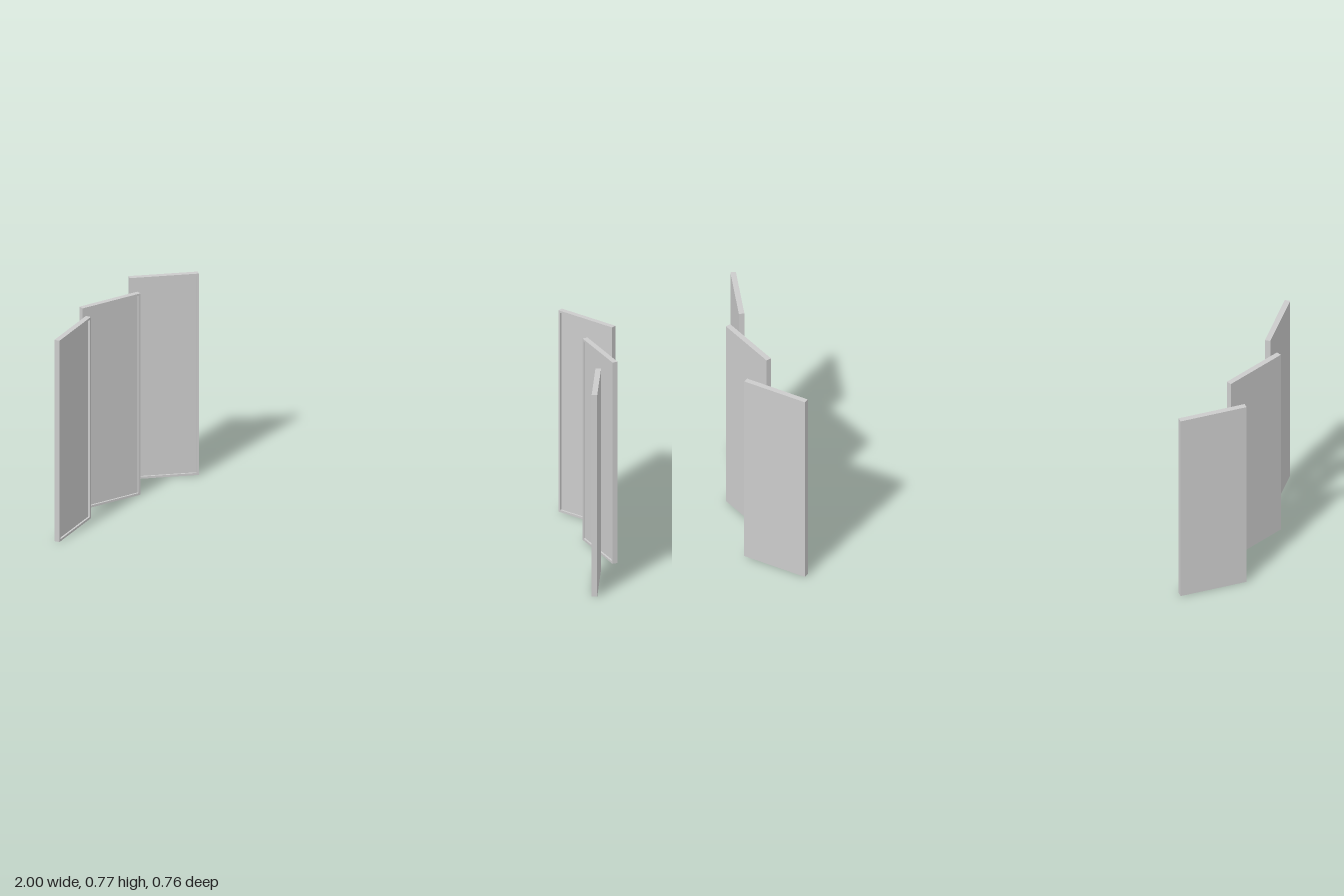
import * as THREE from 'three';

const W = 0.25, H = 0.775, T = 0.02; // panel width, height, thickness
const RIM = 0.008, RECESS = 0.007;   // raised lip around the inner face

function rectangle(Path, w, h) {
  return new Path([[-w, -h], [w, -h], [w, h], [-w, h]].map(([x, y]) => new THREE.Vector2(x / 2, y / 2)));
}

export function createModel() {
  const model = new THREE.Group();
  model.name = 'curvedPanelScreens';
  const material = new THREE.MeshStandardMaterial({ color: 0xcccccc });

  // flat slab, with a thin lip on the side facing the middle
  const slab = new THREE.BoxGeometry(W, H, T - RECESS).translate(0, 0, -RECESS / 2);
  const outline = rectangle(THREE.Shape, W, H);
  outline.holes.push(rectangle(THREE.Path, W - 2 * RIM, H - 2 * RIM));
  const lip = new THREE.ExtrudeGeometry(outline, { depth: RECESS, bevelEnabled: false })
    .translate(0, 0, T / 2 - RECESS);

  // name, x, z, yaw in degrees: local +z turns to the inside of the arc
  const panels = [
    ['leftFrontPanel', 0.964, 0.25, -78],
    ['leftMiddlePanel', 0.899, -0.04, -49.5],
    ['leftBackPanel', 0.776, -0.317, -25],
    ['rightFrontPanel', -0.966, 0.255, 78.5],
    ['rightMiddlePanel', -0.907, -0.036, 49.5],
    ['rightBackPanel', -0.784, -0.313, 25],
  ];
  for (const [name, x, z, yaw] of panels) {
    const panel = new THREE.Group();
    panel.name = name;
    for (const [part, geometry] of [['slab', slab], ['lip', lip]]) {
      const mesh = new THREE.Mesh(geometry, material);
      mesh.name = part;
      panel.add(mesh);
    }
    panel.position.set(x, H / 2, z);
    panel.rotation.y = THREE.MathUtils.degToRad(yaw);
    model.add(panel);
  }
  return model;
}
